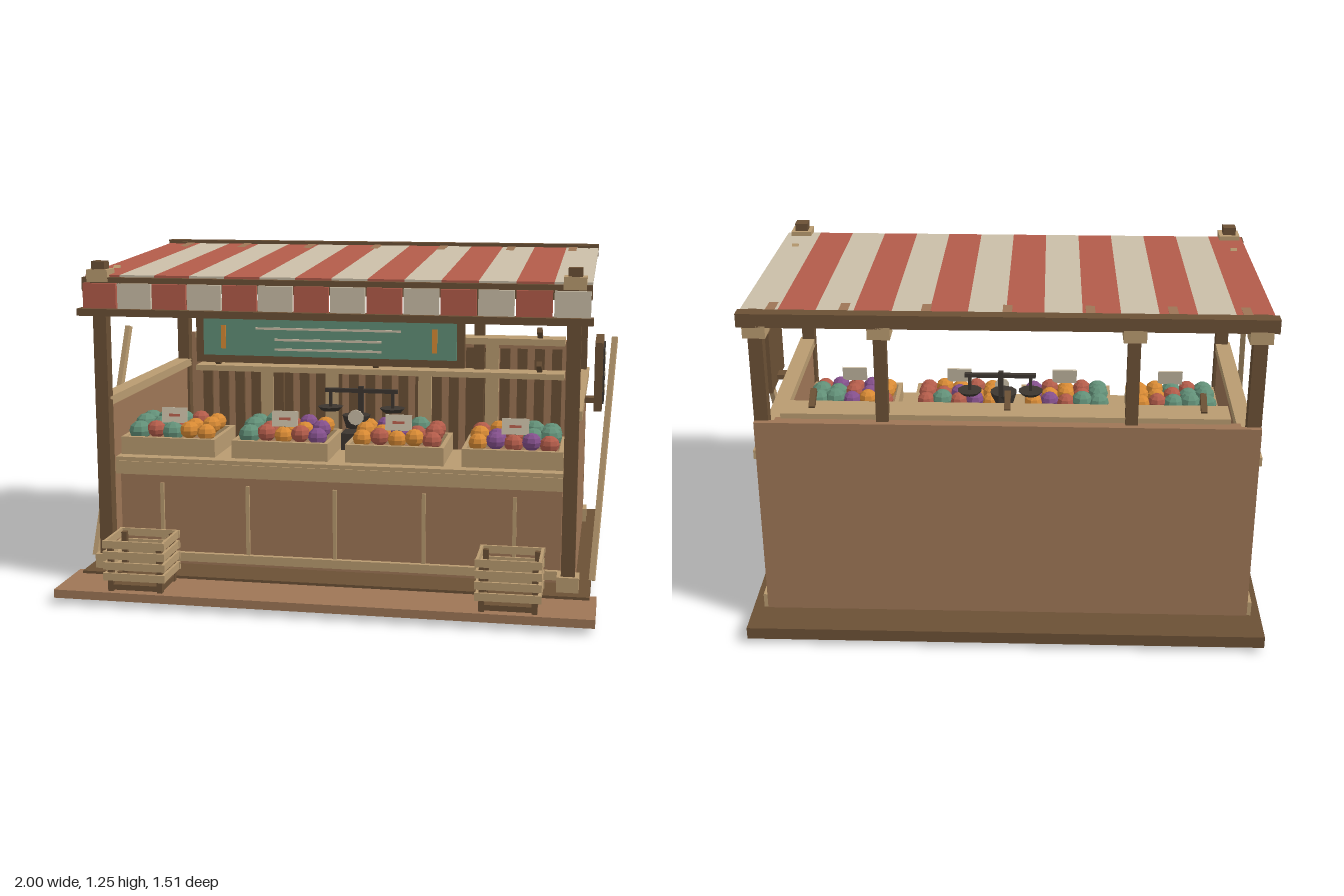
import * as THREE from 'three';

const mat = (name, color, flatShading = false) => {
  const m = new THREE.MeshStandardMaterial({ color, flatShading });
  m.name = name;
  return m;
};

export function createModel() {
  const M = {
    brown: mat('mid wood', 0x9e7656),
    dark: mat('dark wood', 0x6b5035),
    tan: mat('pale wood', 0xb99b70),
    red: mat('red cloth', 0xb35c4a, true),
    cream: mat('cream cloth', 0xcbbfa8),
    green: mat('green', 0x629078, true),
    orange: mat('orange', 0xd88a34, true),
    purple: mat('purple', 0x84508c, true),
    black: mat('black iron', 0x3c3630),
  };
  const root = new THREE.Group();
  root.name = 'marketStall';
  const CX = -0.025; // middle of the stall

  const add = (name, geo, m, parent = root) => {
    const mesh = new THREE.Mesh(geo, M[m]);
    mesh.name = name;
    parent.add(mesh);
    return mesh;
  };
  // box given by its min and max on each axis
  const box = (name, m, x0, x1, y0, y1, z0, z1, parent = root) => {
    const mesh = add(name, new THREE.BoxGeometry(x1 - x0, y1 - y0, z1 - z0), m, parent);
    mesh.position.set((x0 + x1) / 2, (y0 + y1) / 2, (z0 + z1) / 2);
    return mesh;
  };
  // square bar between two points
  const bar = (name, m, a, b, w, h = w, parent = root) => {
    const A = new THREE.Vector3(...a), B = new THREE.Vector3(...b);
    const mesh = add(name, new THREE.BoxGeometry(w, h, A.distanceTo(B)), m, parent);
    mesh.position.copy(A).add(B).multiplyScalar(0.5);
    mesh.lookAt(B);
    return mesh;
  };
  const group = (name, x = 0, y = 0, z = 0) => {
    const g = new THREE.Group();
    g.name = name;
    g.position.set(x, y, z);
    root.add(g);
    return g;
  };

  // base, front deck and feet
  box('base', 'dark', -0.97, 0.925, 0.02, 0.065, -0.76, 0.49);
  box('baseLip', 'dark', -0.97, 0.925, 0.055, 0.065, 0.49, 0.54);
  box('frontDeck', 'brown', -1, 0.95, 0.024, 0.055, 0.488, 0.755);
  for (const x of [-0.7, 0.65]) {
    const foot = add('foot', new THREE.ConeGeometry(0.05, 0.02, 8), 'cream');
    foot.rotation.x = Math.PI;
    foot.position.set(x, 0.01, -0.37);
  }

  // posts with collars
  const post = (x, z, top, w) => {
    const g = group('post', x, 0, z);
    box('postShaft', 'dark', -w, w, 0.065, top, -w, w, g);
    box('footCollar', 'tan', -0.04, 0.04, 0.065, 0.12, -0.04, 0.04, g);
    box('topCollar', 'tan', -0.04, 0.04, 1.155, 1.2, -0.04, 0.04, g);
  };
  for (const s of [-1, 1]) {
    const x = CX + s * 0.87;
    post(x, 0.455, 1.23, 0.025);
    post(x, -0.575, 1.24, 0.025);
    post(CX + s * 0.44, -0.575, 1.22, 0.022);
    bar('brace', 'tan', [x, 1.06, 0.44], [x, 1.19, 0.262], 0.026);
  }

  // side and rear walls
  for (const s of [-1, 1]) {
    const x = CX + s * 0.875;
    box('sideWall', 'brown', x - 0.02, x + 0.02, 0.075, 0.69, -0.6, 0.44);
    box('sideWallCap', 'tan', x - 0.03, x + 0.03, 0.688, 0.722, -0.612, 0.455);
  }
  box('rearWall', 'brown', -0.92, 0.87, 0.065, 0.835, -0.618, -0.595);
  box('rearWallRail', 'brown', -0.85, 0.8, 0.8, 0.835, -0.595, -0.57);
  for (let i = 0; i < 22; i++) {
    const x = CX - 0.77 + i * 0.0733;
    box('rearPlank', 'dark', x - 0.021, x + 0.021, 0.075, 0.8, -0.596, -0.58);
  }
  for (const x of [-0.52, -0.23, 0.18, 0.47])
    box('rearUpright', 'tan', x - 0.028, x + 0.028, 0.075, 0.825, -0.596, -0.565);

  // rear shelves with brackets
  for (const [y, h] of [[0.828, 0.027], [0.685, 0.024]]) {
    box('rearShelf', 'tan', -0.815, 0.78, y, y + h, -0.58, -0.468);
    for (const x of [-0.725, CX, 0.675])
      bar('shelfBracket', 'dark', [x, y + 0.067, -0.462], [x, y + 0.025, -0.53], 0.022);
  }

  // counter
  box('counterBody', 'brown', -0.86, 0.815, 0.07, 0.44, 0.09, 0.395);
  box('counterTop', 'tan', -0.87, 0.825, 0.465, 0.485, 0.06, 0.42);
  box('counterRail', 'tan', -0.87, 0.82, 0.42, 0.47, 0.385, 0.425);
  box('counterFootRail', 'tan', -0.86, 0.815, 0.085, 0.118, 0.39, 0.415);
  for (let i = -2; i <= 2; i++) {
    const x = CX + i * 0.335;
    box('counterBatten', 'tan', x - 0.007, x + 0.007, 0.118, 0.385, 0.394, 0.405);
  }

  // produce trays, back row to front row
  const kinds = { g: 'green', o: 'orange', r: 'red', p: 'purple' };
  const rows = [
    ['gggro', 'ggroo', 'grgoo'],
    ['ggrpo', 'groop', 'grorp'],
    ['oprgr', 'ooprr', 'oroor'],
    ['ropgg', 'oprgg', 'oprpr'],
  ];
  const fruit = new THREE.SphereGeometry(0.037, 8, 6);
  rows.forEach((tray, t) => {
    const g = group('produceTray', CX + (t - 1.5) * 0.436, 0.485, 0.22);
    box('trayFloor', 'brown', -0.18, 0.18, 0, 0.02, -0.14, 0.14, g);
    for (const s of [-1, 1]) {
      box('trayLongSide', 'tan', -0.185, 0.185, 0, 0.068, s * 0.14 - 0.01, s * 0.14 + 0.01, g);
      box('trayEnd', 'tan', s * 0.177 - 0.008, s * 0.177 + 0.008, 0, 0.068, -0.13, 0.13, g);
    }
    tray.forEach((row, r) => [...row].forEach((k, c) => {
      const f = add('produce', fruit, kinds[k], g);
      const size = k === 'g' ? 1.15 : 1;
      f.scale.set(size, size * 0.9, size);
      f.position.set((c - 2) * 0.066, 0.095 - r * 0.007 + ((c + r) % 2) * 0.008, (r - 1) * 0.078);
      f.rotation.y = c * 1.3 + r;
    }));
    // price card
    const card = group('priceCard', CX + (t - 1.5) * 0.436 + 0.005, 0.628, 0.29);
    card.rotation.x = -0.15;
    box('cardFace', 'cream', -0.05, 0.05, -0.03, 0.03, -0.004, 0.004, card);
    box('cardLine', 'red', -0.022, 0.022, -0.005, 0.005, 0.004, 0.006, card);
    box('cardStick', 'dark', -0.005, 0.005, -0.12, -0.03, -0.004, 0.004, card);
  });

  // balance scale
  const scale = group('scale', 0, 0, 0.1);
  box('scaleBase', 'black', -0.05, 0.035, 0.485, 0.55, -0.05, 0.05, scale);
  box('scaleColumn', 'black', 0.01, 0.03, 0.55, 0.73, -0.01, 0.01, scale);
  box('scaleBeam', 'black', -0.12, 0.165, 0.705, 0.72, -0.01, 0.01, scale);
  for (const x of [-0.1, 0.145]) {
    box('scaleHanger', 'black', x - 0.006, x + 0.006, 0.64, 0.71, -0.006, 0.006, scale);
    add('scalePan', new THREE.CylinderGeometry(0.05, 0.035, 0.016, 10), 'black', scale).position.set(x, 0.64, 0);
  }
  add('scaleBowl', new THREE.CylinderGeometry(0.055, 0.04, 0.05, 10), 'black', scale).position.set(0.01, 0.6, 0.04);
  const dial = add('scaleDial', new THREE.CylinderGeometry(0.03, 0.03, 0.008, 10), 'cream', scale);
  dial.rotation.x = Math.PI / 2;
  dial.position.set(0.018, 0.625, 0.1);

  // roof frame
  box('rearBeam', 'dark', -0.955, 0.905, 1.195, 1.245, -0.615, -0.567);
  box('frontBeam', 'dark', -0.955, 0.905, 1.12, 1.172, 0.44, 0.492);
  for (const x of [-0.855, -0.6, -0.313, CX, 0.258, 0.545, 0.8])
    bar('rafter', 'brown', [x, 1.148, 0.45], [x, 1.22, -0.585], 0.033, 0.03);

  // striped awning and valance
  const STRIPES = 14, X0 = -0.947, W = 1.852 / STRIPES;
  for (let i = 0; i < STRIPES; i++) {
    const x = X0 + (i + 0.5) * W, m = i % 2 ? 'cream' : 'red';
    bar('awningStripe', m, [x, 1.175, 0.47], [x, 1.227, -0.58], W, 0.01);
    box('valanceFlap', m, x - W / 2 + 0.003, x + W / 2 - 0.003, 1.058, 1.152, 0.495, 0.513);
  }
  box('valanceBeam', 'dark', -0.962, 0.912, 1.034, 1.06, 0.48, 0.535);

  // hanging sign
  box('signFrame', 'dark', -0.515, 0.465, 0.872, 1.045, 0.48, 0.508);
  box('signPanel', 'green', -0.485, 0.438, 0.9, 1.035, 0.508, 0.517);
  for (const [y, w] of [[1, 0.265], [0.96, 0.195], [0.925, 0.195]])
    box('signLine', 'cream', CX - w, CX + w, y - 0.004, y + 0.004, 0.517, 0.521);
  for (const x of [-0.41, 0.36])
    box('signMark', 'orange', x - 0.009, x + 0.009, 0.925, 1.01, 0.517, 0.521);

  // chalkboard on the left side wall
  box('chalkboardFrame', 'dark', 0.915, 0.945, 0.683, 0.937, -0.04, 0.228);
  box('chalkboardFace', 'black', 0.945, 0.951, 0.707, 0.913, -0.018, 0.206);
  box('chalkboardMount', 'dark', 0.87, 0.916, 0.695, 0.715, 0.07, 0.12);
  for (const [y, z0] of [[0.872, 0.02], [0.812, 0.05], [0.748, 0.02]])
    box('chalkLine', 'cream', 0.951, 0.954, y - 0.006, y + 0.006, z0, 0.16);

  // leaning poles
  bar('leaningPole', 'tan', [0.93, 0.078, 0.37], [0.985, 0.94, 0.065], 0.02, 0.024);
  bar('leaningPole', 'tan', [-0.98, 0.078, 0.37], [-0.928, 0.94, 0.065], 0.02, 0.024);

  // slatted crates on the deck
  for (const x of [-0.697, 0.65]) {
    const g = group('crate', x, 0.055, 0.647);
    box('crateFloor', 'dark', -0.1, 0.1, 0.005, 0.025, -0.085, 0.085, g);
    for (const s of [-1, 1]) {
      for (const t of [-1, 1])
        box('cratePost', 'dark', s * 0.092 - 0.01, s * 0.092 + 0.01, 0, 0.18, t * 0.077 - 0.01, t * 0.077 + 0.01, g);
      for (let i = 0; i < 4; i++) {
        const y = 0.042 + i * 0.04;
        box('crateSlat', 'tan', -0.116, 0.116, y, y + 0.028, s * 0.092 - 0.005, s * 0.092 + 0.005, g);
        box('crateEndSlat', 'tan', s * 0.108 - 0.005, s * 0.108 + 0.005, y, y + 0.028, -0.09, 0.09, g);
      }
    }
  }
  return root;
}
